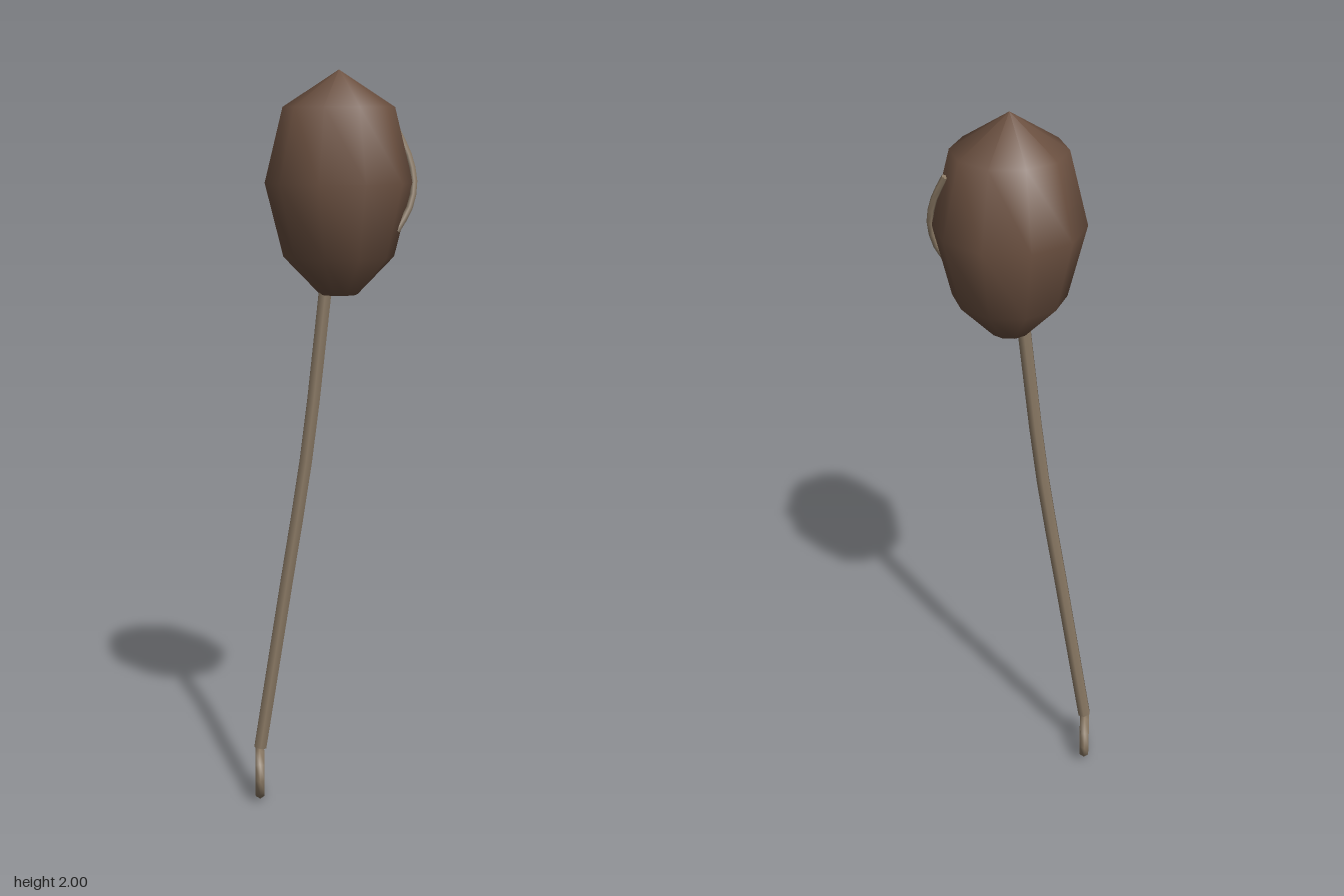
import * as THREE from 'three';

const brown = new THREE.MeshStandardMaterial({ color: 0x6b5040 });
const tan = new THREE.MeshStandardMaterial({ color: 0x8b7a65 });
const v3 = (p) => new THREE.Vector3(...p);

function add(group, name, geometry, material) {
  const mesh = new THREE.Mesh(geometry, material);
  mesh.name = name;
  group.add(mesh);
  return mesh;
}

// Tube through points, with both ends closed
function cappedTube(group, name, points, segments, radius, sides) {
  const curve = new THREE.CatmullRomCurve3(points.map(v3));
  const part = new THREE.Group();
  part.name = name;
  add(part, name + 'Shaft', new THREE.TubeGeometry(curve, segments, radius, sides), tan);
  for (const t of [0, 1]) {
    const cap = add(part, name + 'End', new THREE.CircleGeometry(radius, sides), tan);
    const p = curve.getPointAt(t);
    const dir = curve.getTangentAt(t).multiplyScalar(t ? 1 : -1);
    cap.position.copy(p);
    cap.lookAt(p.clone().add(dir));
  }
  group.add(part);
}

export function createModel() {
  const model = new THREE.Group();
  model.name = 'rattle';

  // Ten-sided gourd head with a small flat base
  const profile = [[0, 1.417], [0.05, 1.417], [0.147, 1.517], [0.195, 1.71], [0.147, 1.905], [0, 2]]
    .map(([r, y]) => new THREE.Vector2(r, y));
  const head = add(model, 'head', new THREE.LatheGeometry(profile, 10, Math.PI / 2), brown);
  head.position.x = 0.0145;

  // Gently bent handle
  cappedTube(model, 'handle', [
    [-0.018, 1.46, 0], [-0.07, 1.0, 0], [-0.133, 0.6, 0], [-0.205, 0.147, 0],
  ], 8, 0.019, 6);

  // Hanging ring at the foot
  const ring = add(model, 'ring', new THREE.TorusGeometry(0.061, 0.0145, 6, 10), tan);
  ring.rotation.y = Math.PI / 2;
  ring.position.set(-0.207, 0.0735, 0);

  // Slanted raised vine on the side of the head
  cappedTube(model, 'vine', [
    [0.17, 1.845, -0.031], [0.2, 1.78, -0.016], [0.213, 1.71, 0],
    [0.2, 1.645, 0.015], [0.165, 1.585, 0.029],
  ], 8, 0.009, 5);

  return model;
}
